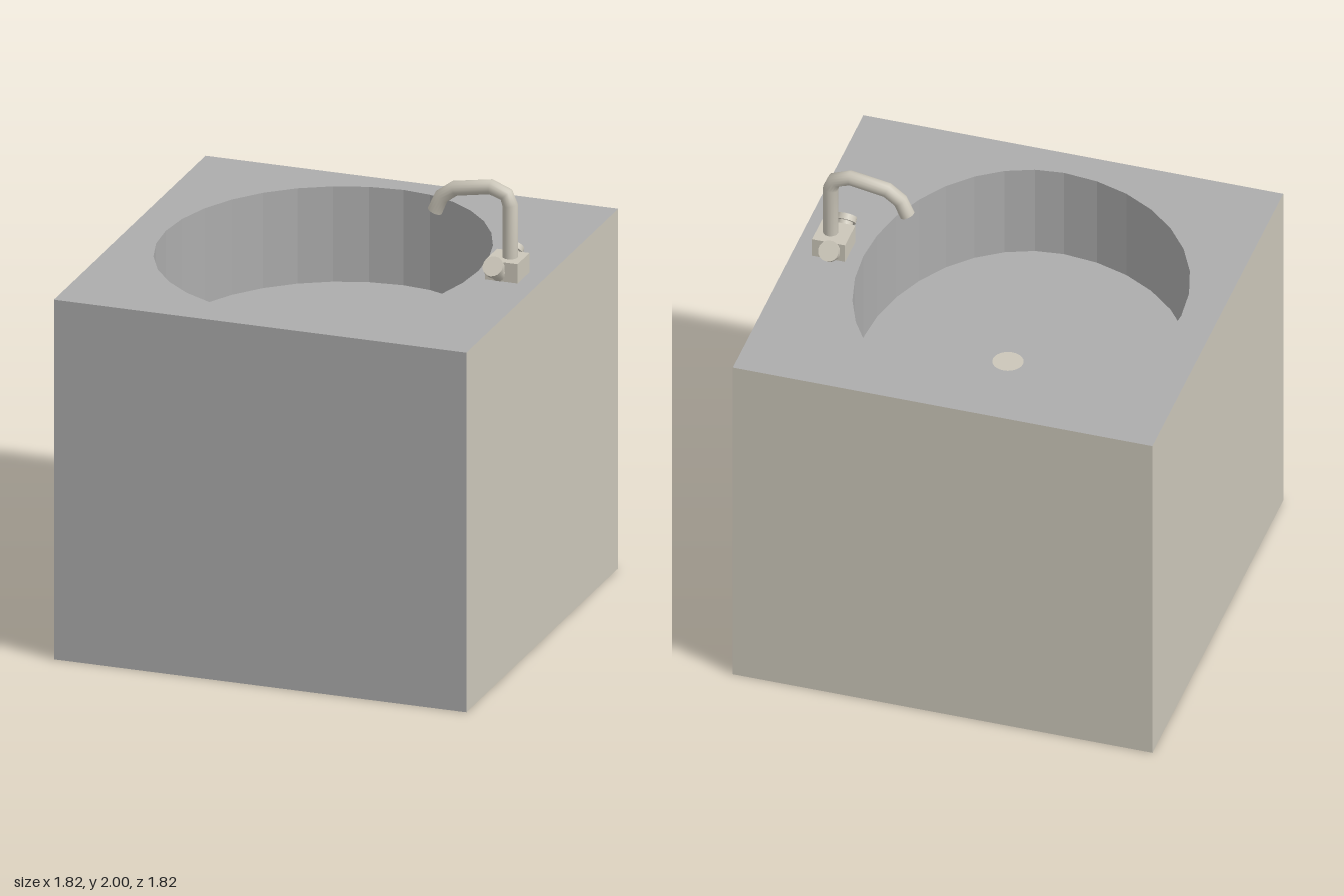
import * as THREE from 'three';

const HALF = 0.908, TOP = 1.585, DEPTH = 0.42, SEGMENTS = 32;
const BASIN = { left: 0.755, right: 0.62, z: 0.793, offsetZ: -0.017 };

// The basin is an egg-like oval: wider towards -x, narrower on the tap side.
function ovalPoint(sin, cos) {
  return [sin * (sin < 0 ? BASIN.left : BASIN.right), cos * BASIN.z + BASIN.offsetZ];
}

// Straight-sided path whose rings sit on the corners, turned halfway through each bend.
class BentPath extends THREE.Curve {
  constructor(points) {
    super();
    this.points = points;
  }
  getPoint(t, target = new THREE.Vector3()) {
    const last = this.points.length - 1;
    const i = Math.min(Math.floor(t * last + 1e-6), last - 1);
    return target.lerpVectors(this.points[i], this.points[i + 1], t * last - i);
  }
  getPointAt(t, target) {
    return this.getPoint(t, target);
  }
  getTangentAt(t, target = new THREE.Vector3()) {
    const p = this.points, last = p.length - 1, i = Math.round(t * last);
    target.set(0, 0, 0);
    if (i > 0) target.add(p[i].clone().sub(p[i - 1]).normalize());
    if (i < last) target.add(p[i + 1].clone().sub(p[i]).normalize());
    return target.normalize();
  }
}

export function createModel() {
  const model = new THREE.Group();
  model.name = 'washbasin';

  const grey = new THREE.MeshStandardMaterial({ color: 0xacacac });
  grey.name = 'grey stone';
  const beige = new THREE.MeshStandardMaterial({ color: 0xcbc6b9 });
  beige.name = 'warm beige';

  function add(name, geometry, material, parent = model) {
    const mesh = new THREE.Mesh(geometry, material);
    mesh.name = name;
    parent.add(mesh);
    return mesh;
  }

  // Cabinet: grey front, beige elsewhere, open above
  const box = new THREE.BoxGeometry(HALF * 2, TOP, HALF * 2).translate(0, TOP / 2, 0);
  box.groups = box.groups.filter((g) => g.materialIndex !== 2);
  add('cabinet', box, [beige, beige, grey, beige, grey, beige]);

  // Oval outline in plan; shape y becomes -z once laid flat
  const outline = [];
  for (let i = 0; i < SEGMENTS; i++) {
    const a = (i / SEGMENTS) * Math.PI * 2;
    const [x, z] = ovalPoint(Math.sin(a), Math.cos(a));
    outline.push(new THREE.Vector2(x, -z));
  }

  // Worktop with the oval cut out
  const slab = new THREE.Shape([
    new THREE.Vector2(-HALF, -HALF), new THREE.Vector2(HALF, -HALF),
    new THREE.Vector2(HALF, HALF), new THREE.Vector2(-HALF, HALF),
  ]);
  slab.holes.push(new THREE.Path(outline));
  add('worktop', new THREE.ShapeGeometry(slab).rotateX(-Math.PI / 2).translate(0, TOP, 0), grey);

  // Basin wall, mirrored so that its faces look inwards
  const wall = new THREE.CylinderGeometry(1, 1, DEPTH, SEGMENTS, 1, true).toNonIndexed();
  const pos = wall.attributes.position;
  for (let i = 0; i < pos.count; i++) {
    const [x, z] = ovalPoint(-pos.getX(i), pos.getZ(i));
    pos.setXYZ(i, x, pos.getY(i) + TOP - DEPTH / 2, z);
  }
  wall.computeVertexNormals();
  add('basinWall', wall, grey);

  // Basin floor and drain
  const floor = new THREE.ShapeGeometry(new THREE.Shape(outline));
  add('basinFloor', floor.rotateX(-Math.PI / 2).translate(0, TOP - DEPTH, 0), grey);
  const drain = new THREE.CircleGeometry(0.065, 24).rotateX(-Math.PI / 2);
  add('drain', drain.translate(0, TOP - DEPTH + 0.003, 0), beige);

  // Tap
  const tap = new THREE.Group();
  tap.name = 'tap';
  tap.position.set(0, TOP, -0.005);
  model.add(tap);
  add('tapBase', new THREE.BoxGeometry(0.143, 0.085, 0.143).translate(0.752, 0.0425, 0), beige, tap);

  // Spout: upright pipe bending over the basin
  const path = [
    [0.765, 0.05], [0.765, 0.313], [0.748, 0.357], [0.68, 0.383],
    [0.521, 0.356], [0.463, 0.313], [0.434, 0.247],
  ].map(([x, y]) => new THREE.Vector3(x, y, 0));
  const curve = new BentPath(path);
  add('spout', new THREE.TubeGeometry(curve, path.length - 1, 0.032, 16), beige, tap);
  const mouth = add('spoutMouth', new THREE.CircleGeometry(0.032, 16), beige, tap);
  mouth.position.copy(path[path.length - 1]);
  mouth.quaternion.setFromUnitVectors(new THREE.Vector3(0, 0, 1), curve.getTangentAt(1));

  // Two handles slanting up from either side of the base
  for (const side of [1, -1]) {
    const handle = new THREE.Group();
    handle.name = side > 0 ? 'frontHandle' : 'backHandle';
    handle.position.set(0.735, 0.018, side * 0.045);
    handle.rotation.x = side * 0.9;
    tap.add(handle);
    add('handleStem', new THREE.CylinderGeometry(0.033, 0.033, 0.09, 16).translate(0, 0.045, 0), beige, handle);
    add('handleCap', new THREE.CylinderGeometry(0.044, 0.044, 0.026, 16).translate(0, 0.093, 0), beige, handle);
  }

  return model;
}
